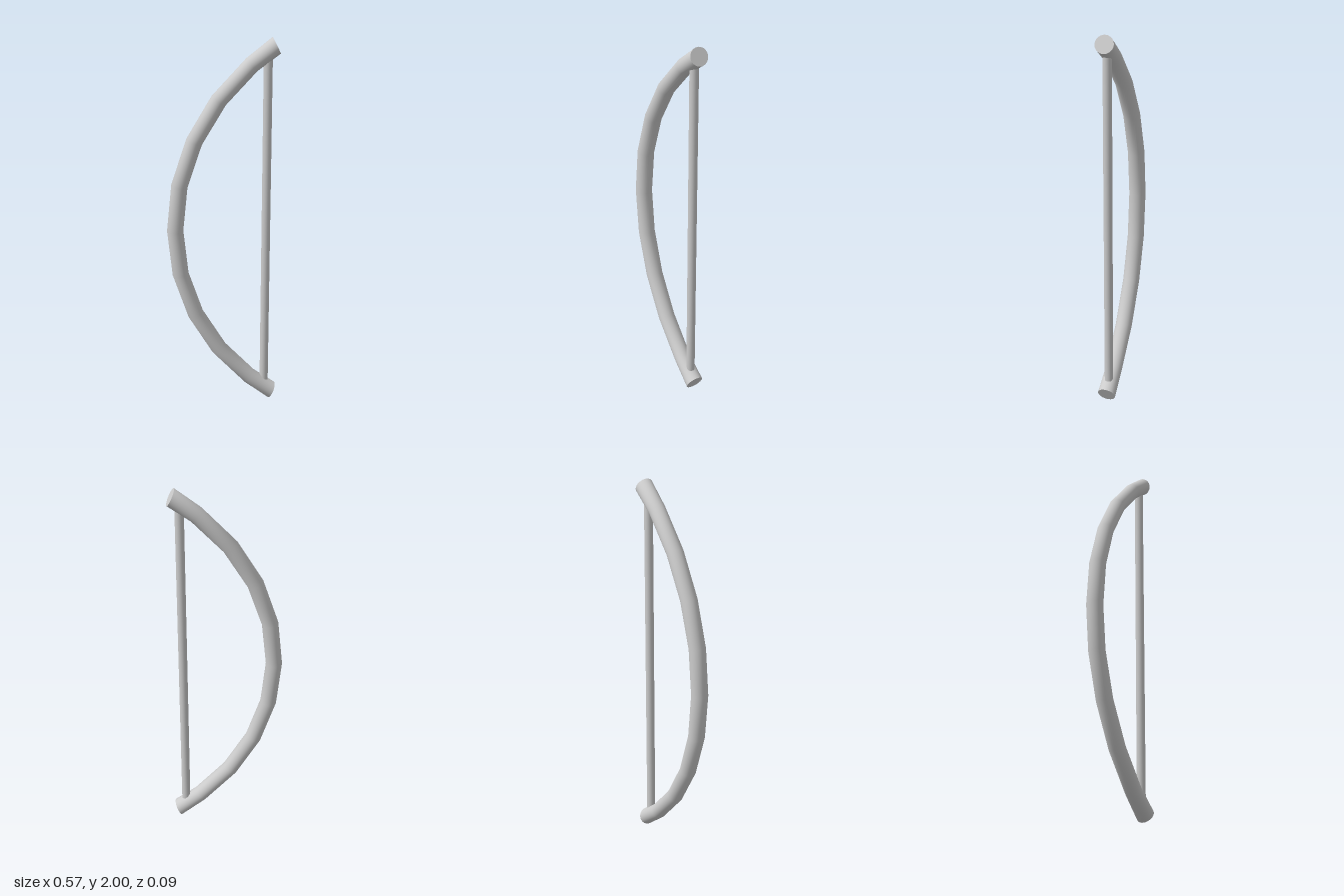
import * as THREE from 'three';

export function createModel() {
  const model = new THREE.Group();
  model.name = 'bow';
  const material = new THREE.MeshStandardMaterial({ color: 0xcccccc });

  // Upper half of the bow limb from grip to tip: x, y, tilt in degrees, radius
  const upper = [
    [-0.245, 1, 90, 0.042],
    [-0.22, 1.244, 81, 0.042],
    [-0.143, 1.477, 68, 0.042],
    [-0.019, 1.687, 57, 0.042],
    [0.145, 1.865, 41, 0.042],
    [0.267, 1.959, 26, 0.0455],
  ];
  // Mirror it downwards so the rings run from the bottom tip to the top tip
  const lower = upper.slice(1).reverse().map(([x, y, a, r]) => [x, 2 - y, 180 - a, r]);
  const rings = [...lower, ...upper];

  // Bow limb: a capped cylinder whose rows are moved onto the tilted rings
  const rows = rings.length - 1;
  const geometry = new THREE.CylinderGeometry(1, 1, rows, 32, rows);
  const pos = geometry.attributes.position;
  const nor = geometry.attributes.normal;
  for (let i = 0; i < pos.count; i++) {
    const [x, y, degrees, r] = rings[Math.round(pos.getY(i) + rows / 2)];
    const angle = THREE.MathUtils.degToRad(degrees);
    const s = Math.sin(angle), c = Math.cos(angle);
    const across = pos.getX(i) * r;
    pos.setXYZ(i, x + across * s, y - across * c, pos.getZ(i) * r * 1.04);
    const nx = nor.getX(i), ny = nor.getY(i);
    nor.setXY(i, nx * s + ny * c, -nx * c + ny * s);
  }
  const limb = new THREE.Mesh(geometry, material);
  limb.name = 'bowLimb';
  model.add(limb);

  // Straight string, its ends sunk into the limb
  const string = new THREE.Mesh(new THREE.CylinderGeometry(0.0225, 0.0225, 1.82, 24), material);
  string.name = 'bowString';
  string.position.set(0.226, 1, 0);
  model.add(string);

  return model;
}
